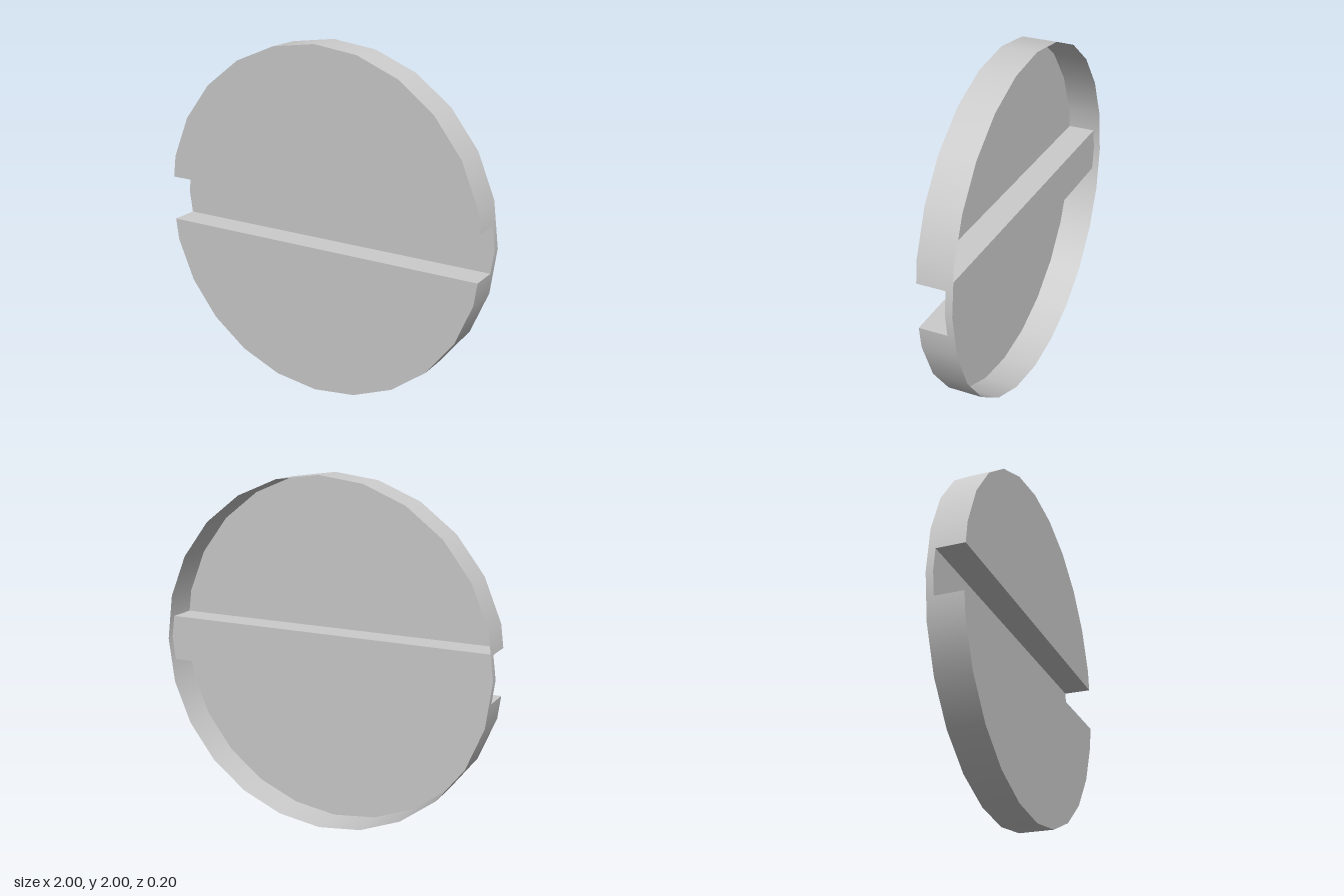
import * as THREE from 'three';

const SIDES = 24, CENTER_Y = 1;
const FRONT = 0.1, BACK = -0.1, FLOOR = -0.06; // z of face, open back and slot floor
const SLOT = 0.131; // half height of the slot

const material = new THREE.MeshStandardMaterial({ color: 0xcccccc, side: THREE.DoubleSide });

// Corner k of the polygonal disc
const corner = (k) => {
  const a = (k / SIDES) * Math.PI * 2;
  return new THREE.Vector2(Math.cos(a), Math.sin(a));
};

// Point where the slot edge cuts the disc outline on the +x side
const c1 = corner(1);
const cut = new THREE.Vector2(1 + (c1.x - 1) * (SLOT / c1.y), SLOT);
const at = (sx, sy) => new THREE.Vector2(cut.x * sx, cut.y * sy);

function add(group, name, geometry) {
  const mesh = new THREE.Mesh(geometry, material);
  mesh.name = name;
  group.add(mesh);
}

// Flat plate with the given outline at depth z
function plate(points, z) {
  return new THREE.ShapeGeometry(new THREE.Shape(points)).translate(0, 0, z);
}

// Strip swept along z between zBack and zFront; normalOf gives the xy normal at a point
function strip(points, zBack, zFront, normalOf) {
  const pos = [], nor = [], index = [];
  points.forEach((p, i) => {
    const n = normalOf(p);
    pos.push(p.x, p.y, zBack, p.x, p.y, zFront);
    nor.push(n.x, n.y, 0, n.x, n.y, 0);
    if (i) {
      const a = 2 * i - 2;
      index.push(a, a + 2, a + 1, a + 1, a + 2, a + 3);
    }
  });
  const g = new THREE.BufferGeometry();
  g.setAttribute('position', new THREE.Float32BufferAttribute(pos, 3));
  g.setAttribute('normal', new THREE.Float32BufferAttribute(nor, 3));
  g.setIndex(index);
  return g;
}

export function createModel() {
  const model = new THREE.Group();
  model.name = 'slottedDisc';
  const disc = new THREE.Group();
  disc.name = 'discShell';
  disc.position.y = CENTER_Y;
  model.add(disc);

  const radial = (p) => p.clone().normalize();

  for (const [label, s] of [['upper', 1], ['lower', -1]]) {
    // Half outline, counter-clockwise from one slot edge to the other
    const arc = [at(s, s)];
    for (let k = 1; k < SIDES / 2; k++) arc.push(corner(k).multiplyScalar(s));
    arc.push(at(-s, s));
    add(disc, label + 'Face', plate(arc, FRONT));
    add(disc, label + 'Rim', strip(arc, BACK, FRONT, radial));

    // Slot wall, facing into the slot
    add(disc, label + 'SlotWall',
      strip([at(s, s), at(-s, s)].reverse(), FLOOR, FRONT, () => new THREE.Vector2(0, -s)));

    // Low rim bridging the slot end
    const end = [at(s, -s), new THREE.Vector2(s, 0), at(s, s)];
    add(disc, (s > 0 ? 'left' : 'right') + 'SlotEndRim', strip(end, BACK, FLOOR, radial));
  }

  // Slot floor
  add(disc, 'slotFloor', plate([
    at(1, -1), new THREE.Vector2(1, 0), at(1, 1),
    at(-1, 1), new THREE.Vector2(-1, 0), at(-1, -1),
  ], FLOOR));

  return model;
}
